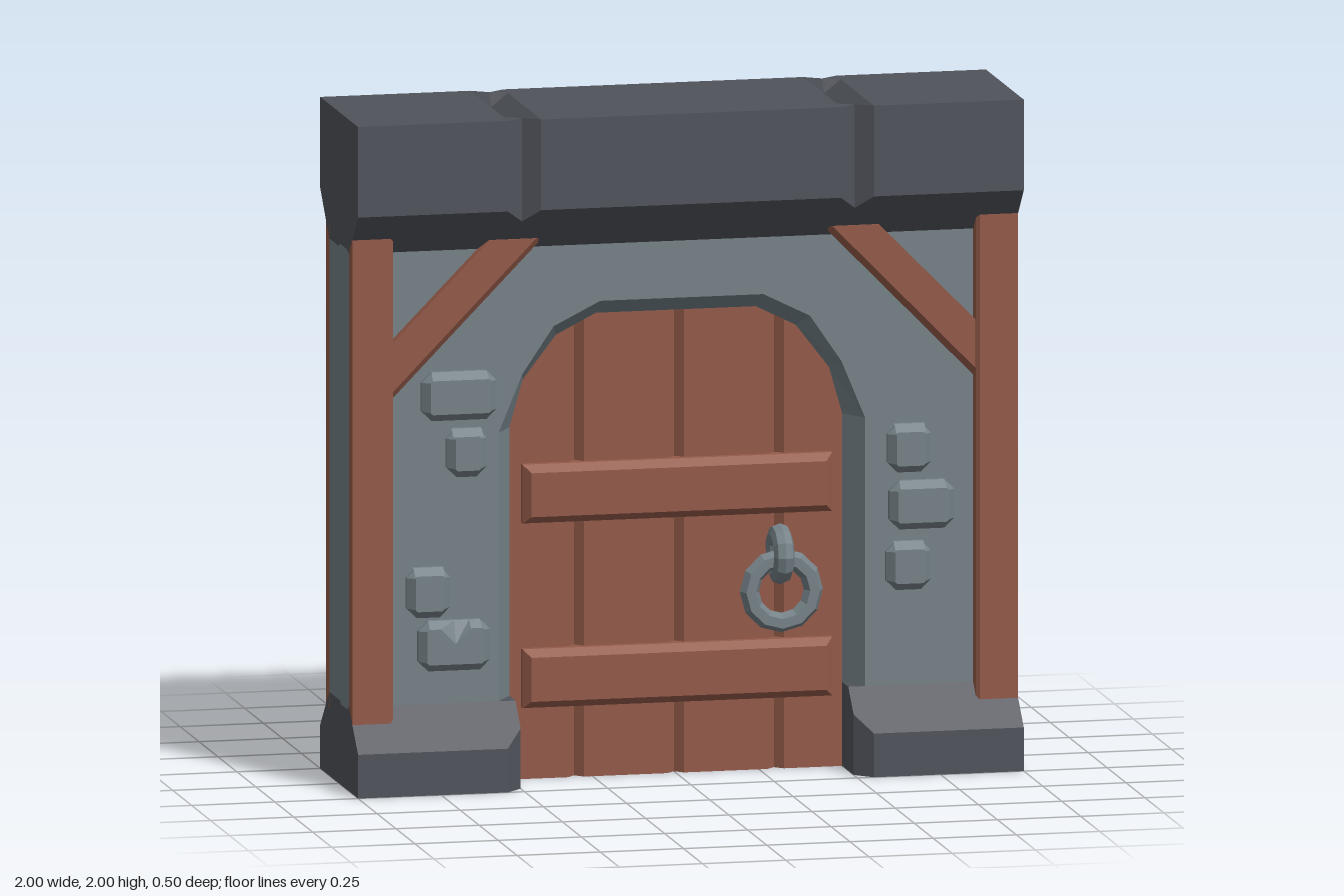
import * as THREE from 'three';

const darkStone = new THREE.MeshStandardMaterial({ color: 0x50535a });
const hollowStone = darkStone;
hollowStone.name = 'dark stone';
hollowStone.side = THREE.DoubleSide; // plinths are open underneath
const greyStone = new THREE.MeshStandardMaterial({ color: 0x758288 });
greyStone.name = 'grey stone';
const wood = new THREE.MeshStandardMaterial({ color: 0x945a49 });
wood.name = 'wood';

// Flat-shaded loft through cross-sections [t, points], t increasing.
// axis 'z': points are (x, y); axis 'x': points are (y, z).
function loft(sections, axis = 'z', closed = true) {
  const first = sections[0][1].map((p) => new THREE.Vector2(...p));
  const reverse = THREE.ShapeUtils.isClockWise(first);
  const rings = sections.map(([t, pts]) => {
    const ring = pts.map(([a, b]) => (axis === 'z' ? [a, b, t] : [t, a, b]));
    return reverse ? ring.reverse() : ring;
  });
  const out = [];
  const tri = (a, b, c) => out.push(...a, ...b, ...c);
  const n = first.length;
  for (let s = 0; s < rings.length - 1; s++) {
    const lo = rings[s], hi = rings[s + 1];
    for (let i = 0; i < n; i++) {
      const j = (i + 1) % n;
      // an open section leaves out the edge that rests on the ground
      if (!closed && lo[i][1] === 0 && lo[j][1] === 0) continue;
      tri(lo[i], lo[j], hi[j]);
      tri(lo[i], hi[j], hi[i]);
    }
  }
  const cap = (k, flip) => {
    const pts = sections[k][1].map((p) => new THREE.Vector2(...p));
    if (reverse) pts.reverse();
    for (const [a, b, c] of THREE.ShapeUtils.triangulateShape(pts, [])) {
      const r = rings[k];
      if (flip) tri(r[a], r[c], r[b]);
      else tri(r[a], r[b], r[c]);
    }
  };
  cap(0, true);
  cap(rings.length - 1, false);
  const geo = new THREE.BufferGeometry();
  geo.setAttribute('position', new THREE.Float32BufferAttribute(out, 3));
  geo.computeVertexNormals();
  return geo;
}

function add(parent, name, geometry, material) {
  const mesh = new THREE.Mesh(geometry, material);
  mesh.name = name;
  parent.add(mesh);
  return mesh;
}

const rect = (x0, x1, y0, y1) => [[x0, y0], [x1, y0], [x1, y1], [x0, y1]];

// Right half of the arch, from springing line to crown
const outerArch = [[0.55, 1.05], [0.48, 1.22], [0.385, 1.36], [0.245, 1.43]];
const innerArch = [[0.5, 1.05], [0.46, 1.19], [0.36, 1.32], [0.24, 1.38]];

function wallOutline(arch) {
  const w = arch[0][0];
  const left = arch.map(([x, y]) => [-x, y]).reverse();
  return [[1, 0.24], [1, 1.61], [-1, 1.61], [-1, 0.24], [-w, 0.24],
    ...left.reverse(), ...arch.slice().reverse(), [w, 0.24]];
}

function archHeight(x) {
  const a = Math.abs(x);
  for (let i = 0; i < 3; i++) {
    const [x0, y0] = innerArch[i], [x1, y1] = innerArch[i + 1];
    if (a >= x1) return y0 + ((x0 - a) / (x0 - x1)) * (y1 - y0);
  }
  return 1.38;
}

// Bevelled wall stone, optionally chipped at the top
function stone(x0, x1, y0, y1, chipped) {
  const outline = (d, c, chip) => {
    const [l, r, b, t, m] = [x0 + d, x1 - d, y0 + d, y1 - d, (x0 + x1) / 2];
    return [[l + c, b], [r - c, b], [r, b + c], [r, t - c], [r - c, t],
      [m + 0.045, t], [m, t - chip], [m - 0.045, t], [l + c, t], [l, t - c], [l, b + c]];
  };
  return loft([[0.12, outline(0, 0.03, 0)], [0.145, outline(0, 0.03, 0)],
    [0.17, outline(0.022, 0.006, chipped ? 0.045 : 0)]]);
}

const flat = (geo) => {
  const g = geo.toNonIndexed();
  g.computeVertexNormals();
  return g;
};

// Everything applied to one face of the gate
function createFace(ringX) {
  const face = new THREE.Group();
  for (const s of [-1, 1]) {
    const m = (pts) => pts.map(([x, y]) => [s * x, y]);
    add(face, 'post', loft([[0.13, m(rect(0.875, 1, 0.2, 1.65))], [0.165, m(rect(0.875, 1, 0.2, 1.65))],
      [0.175, m(rect(0.885, 1, 0.2, 1.65))]]), wood);
    const brace = (d) => m([[0.88, 1.16 + d], [0.88, 1.33], [0.585, 1.63], [0.42 + d, 1.63]]);
    add(face, 'brace', loft([[0.12, brace(0)], [0.145, brace(0)], [0.163, brace(0.025)]]), wood);
  }
  for (const [y0, y1] of [[0.215, 0.39], [0.765, 0.94]]) {
    const x = 0.465, d = 0.022;
    add(face, 'doorBar', loft([[0.03, rect(-x, x, y0, y1)], [0.07, rect(-x, x, y0, y1)],
      [0.095, rect(-x + d, x - d, y0 + d, y1 - d)]]), wood);
  }
  const stones = [
    [-0.785, -0.56, 1.095, 1.24], [-0.71, -0.59, 0.925, 1.07],
    [-0.83, -0.7, 0.51, 0.66], [-0.795, -0.58, 0.35, 0.5, true],
    [0.615, 0.745, 0.885, 1.03], [0.62, 0.815, 0.715, 0.86], [0.61, 0.745, 0.535, 0.68],
  ];
  for (const s of stones) add(face, 'wallStone', stone(...s), greyStone);
  // Door pull
  const hanger = add(face, 'ringHanger', flat(new THREE.TorusGeometry(0.06, 0.031, 8, 12)), greyStone);
  hanger.position.set(ringX, 0.65, 0.105);
  hanger.rotation.y = Math.PI / 2;
  const ring = add(face, 'doorRing', flat(new THREE.TorusGeometry(0.096, 0.029, 6, 12)), greyStone);
  ring.position.set(ringX, 0.545, 0.125);
  return face;
}

export function createModel() {
  const model = new THREE.Group();
  model.name = 'gate';

  // Lintel with two V grooves running around it
  const full = [[1.6, -0.13], [1.73, -0.25], [2, -0.25], [2, -0.19], [2, 0.19], [2, 0.25], [1.73, 0.25], [1.6, 0.13]];
  const groove = [[1.6, -0.13], [1.692, -0.215], [2, -0.215], [1.96, -0.19],
    [1.96, 0.19], [2, 0.215], [1.692, 0.215], [1.6, 0.13]];
  add(model, 'lintel', loft([-1, -0.55, -0.5, -0.45, 0.45, 0.5, 0.55, 1].map(
    (x) => [x, Math.abs(x) === 0.5 ? groove : full]), 'x'), darkStone);

  // Plinths, bevelled towards the door
  const plinth = (z, y) => [[0, -z], [y, -z], [0.25, -0.13], [0.25, 0.13], [y, z], [0, z]];
  const [wide, narrow] = [plinth(0.25, 0.13), plinth(0.2, 0.18)];
  add(model, 'rightPlinth', loft([[-1, wide], [-0.55, wide], [-0.5, narrow]], 'x', false), hollowStone);
  add(model, 'leftPlinth', loft([[0.5, narrow], [0.55, wide], [1, wide]], 'x', false), hollowStone);

  // Wall with a bevelled arch
  const [outer, inner] = [wallOutline(outerArch), wallOutline(innerArch)];
  add(model, 'wall', loft([[-0.13, outer], [-0.05, inner], [0.05, inner], [0.13, outer]]), greyStone);

  // Planked door
  const xs = [-0.5, -0.46, -0.36, -0.325, -0.3, -0.275, -0.24, -0.025, 0,
    0.025, 0.24, 0.275, 0.3, 0.325, 0.36, 0.46, 0.5];
  add(model, 'door', loft(xs.map((x) => {
    const z = [0, 0.3].includes(Math.abs(x)) ? 0.025 : 0.05;
    const y = archHeight(x);
    return [x, [[0, -z], [y, -z], [y, z], [0, z]]];
  }), 'x'), wood);

  const front = createFace(0.3);
  front.name = 'frontDetails';
  const back = createFace(-0.3);
  back.name = 'backDetails';
  back.rotation.y = Math.PI;
  model.add(front, back);
  return model;
}
